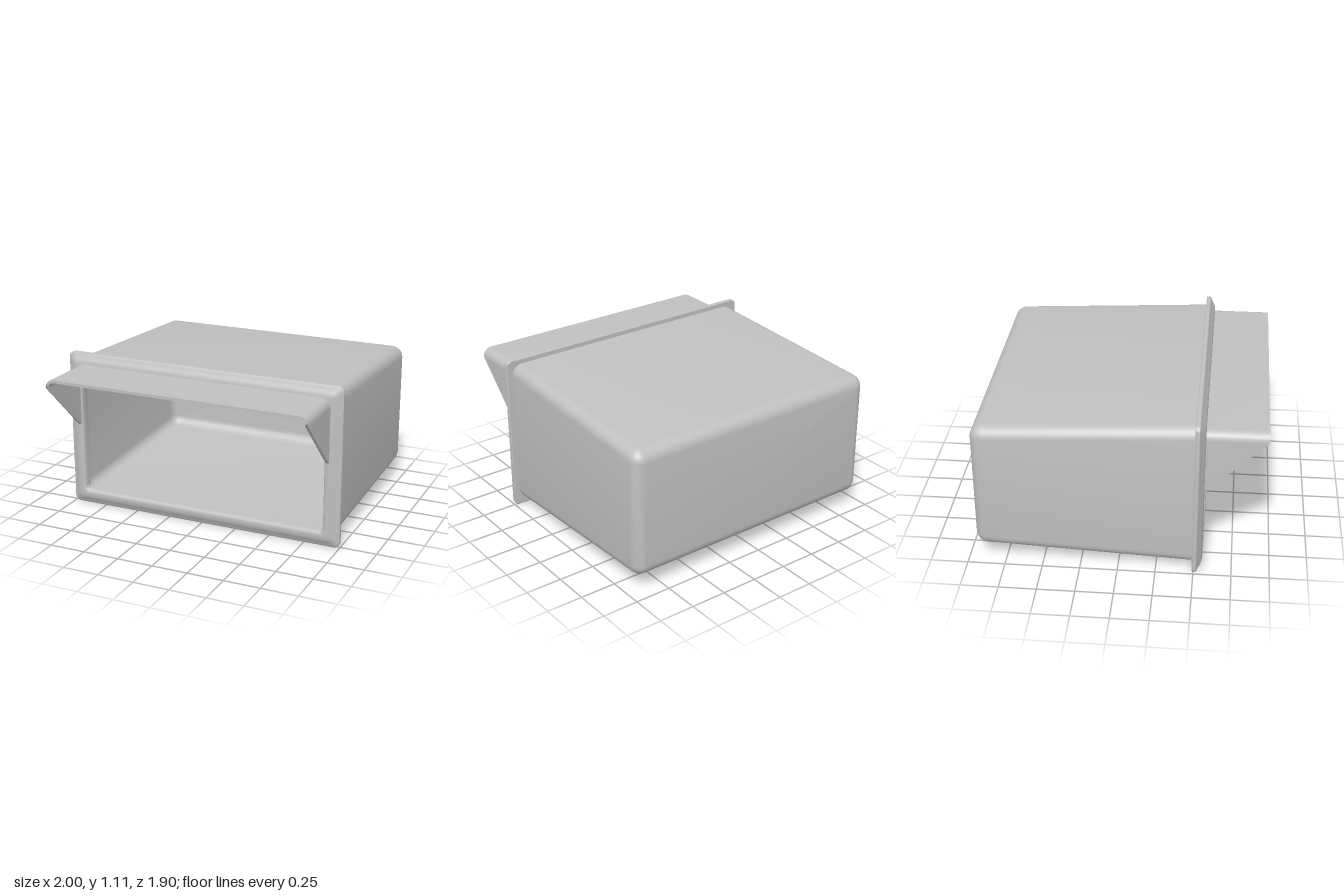
import * as THREE from 'three';
import { toCreasedNormals } from 'three/addons/utils/BufferGeometryUtils.js';

const CORNER_STEPS = 6;

// Rounded rectangle ring, counter-clockwise as seen from +z
function ring(halfX, y0, y1, z, r) {
  const pts = [];
  const corners = [[1, 1], [-1, 1], [-1, -1], [1, -1]];
  corners.forEach(([sx, sy], c) => {
    const cx = sx * (halfX - r), cy = sy > 0 ? y1 - r : y0 + r;
    for (let k = 0; k <= CORNER_STEPS; k++) {
      const a = (c + k / CORNER_STEPS) * Math.PI / 2;
      pts.push([cx + r * Math.cos(a), cy + r * Math.sin(a), z]);
    }
  });
  return pts;
}

// Skin a sequence of rings
function loft(rings, crease) {
  const n = rings[0].length, index = [];
  for (let i = 0; i < rings.length - 1; i++) {
    for (let j = 0; j < n; j++) {
      const a = i * n + j, b = i * n + (j + 1) % n;
      index.push(a, b, b + n, a, b + n, a + n);
    }
  }
  const geo = new THREE.BufferGeometry();
  geo.setAttribute('position', new THREE.Float32BufferAttribute(rings.flat(2), 3));
  geo.setIndex(index);
  return toCreasedNormals(geo, crease);
}

// Tapered open box: outer skin from back to front, then inner skin to the back
function boxGeometry() {
  const FRONT = 0.5, BACK = -0.95, R = 0.08;
  const skin = (t) => {
    const back = BACK + t, r = R - t * 0.5;
    const section = (z, inset) => {
      const k = (z - BACK) / (FRONT - BACK);
      const y0 = 0.112 - 0.067 * k + t, y1 = 1.0 + 0.075 * k - t;
      return ring(0.96 - t - inset, y0 + inset, y1 - inset, z, Math.max(r - inset, 0.001));
    };
    const rings = [ring(0, 0.556, 0.556, back, 0)];
    for (let i = 0; i <= CORNER_STEPS; i++) {
      const a = i / CORNER_STEPS * Math.PI / 2;
      rings.push(section(back + r * (1 - Math.cos(a)), r * (1 - Math.sin(a))));
    }
    rings.push(section(FRONT, 0));
    return rings;
  };
  return loft([...skin(0), ...skin(0.02).reverse()], 0.6);
}

// Front frame: flange, sloped face and softened opening; [inset, z, radius]
function frameGeometry() {
  const profile = [
    [0.11, 0.49, 0.03], [0.005, 0.49, 0.035], [0, 0.495, 0.04], [0, 0.517, 0.04],
    [0.006, 0.523, 0.036], [0.015, 0.525, 0.03], [0.04, 0.544, 0.03], [0.058, 0.553, 0.03],
    [0.078, 0.556, 0.03], [0.09, 0.556, 0.035], [0.1, 0.553, 0.035], [0.107, 0.547, 0.03],
    [0.11, 0.538, 0.03], [0.11, 0.49, 0.03],
  ];
  return loft(profile.map(([d, z, r]) => ring(1 - d, d, 1.11 - d, z, r)), 0.6);
}

// Hood: a bent sheet whose cheeks are cut along a diagonal
function hoodGeometry() {
  const X = 0.925, TOP = 1.037, R = 0.06, T = 0.02, LOW = 0.6, Z0 = 0.545;
  const cy = TOP - R;
  const shape = new THREE.Shape();
  shape.moveTo(X, LOW);
  shape.lineTo(X, cy);
  shape.absarc(X - R, cy, R, 0, Math.PI / 2, false);
  shape.absarc(-X + R, cy, R, Math.PI / 2, Math.PI, false);
  shape.lineTo(-X, LOW);
  shape.lineTo(-X + T, LOW);
  shape.absarc(-X + R, cy, R - T, Math.PI, Math.PI / 2, true);
  shape.absarc(X - R, cy, R - T, Math.PI / 2, 0, true);
  shape.lineTo(X - T, LOW);
  const geo = new THREE.ExtrudeGeometry(shape, { depth: 1, bevelEnabled: false, curveSegments: 8 });
  const p = geo.attributes.position;
  for (let i = 0; i < p.count; i++) {
    const k = Math.min(1, (p.getY(i) - LOW) / (cy - LOW));
    p.setZ(i, p.getZ(i) > 0.5 ? 0.56 + 0.39 * k : Z0);
  }
  return toCreasedNormals(geo, 0.6);
}

export function createModel() {
  const grey = new THREE.MeshStandardMaterial({ color: 0xc0c0c0 });
  grey.name = 'light grey';
  const group = new THREE.Group();
  group.name = 'wallBox';
  const add = (name, geo) => {
    const mesh = new THREE.Mesh(geo, grey);
    mesh.name = name;
    group.add(mesh);
  };
  add('boxBody', boxGeometry());
  add('frontFrame', frameGeometry());
  add('hood', hoodGeometry());
  return group;
}
